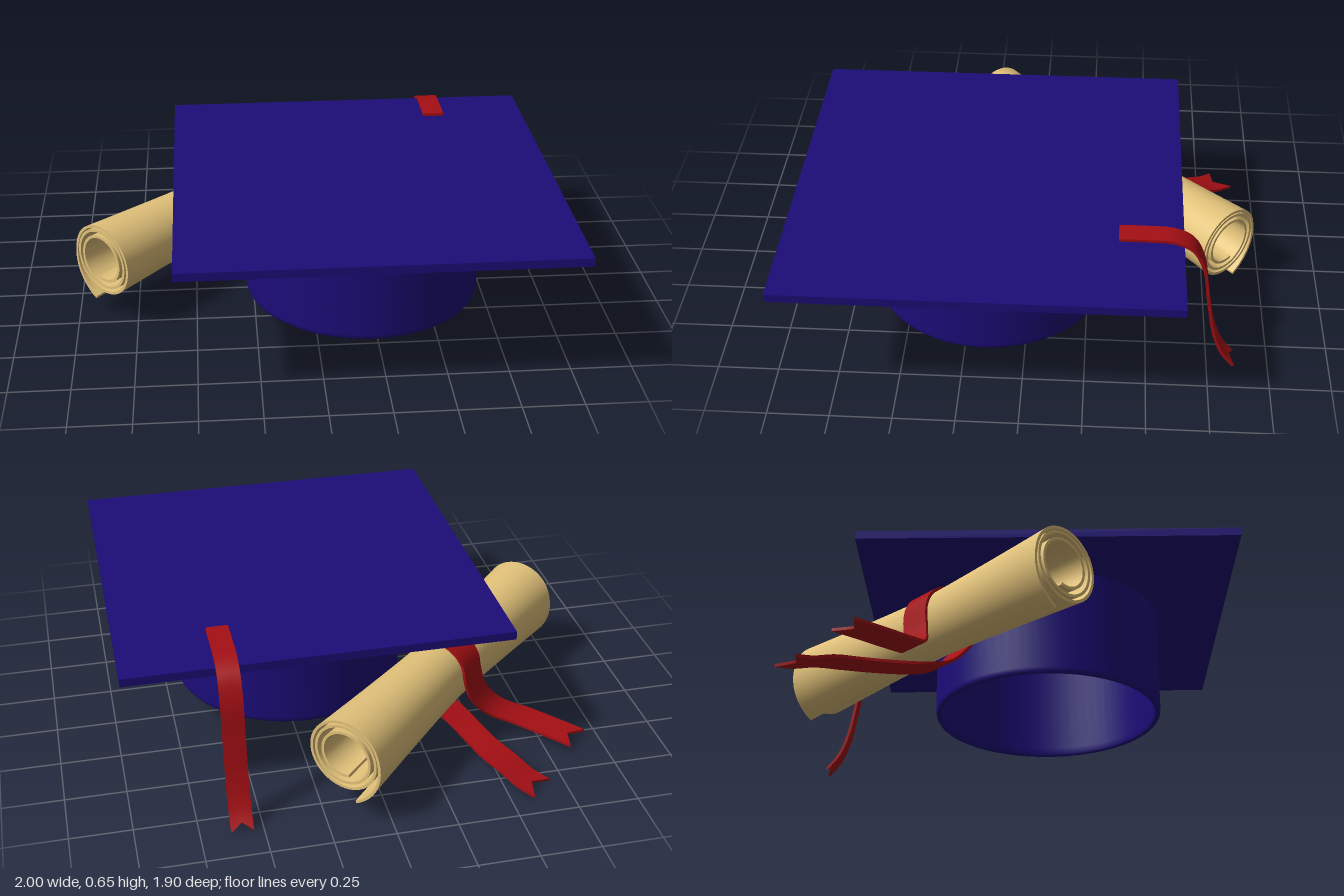
import * as THREE from 'three';
import { mergeGeometries } from 'three/addons/utils/BufferGeometryUtils.js';

const navy = new THREE.MeshStandardMaterial({ color: 0x1c0c78, side: THREE.DoubleSide });
const red = new THREE.MeshStandardMaterial({ color: 0xa50f14, side: THREE.DoubleSide });
const parchment = new THREE.MeshStandardMaterial({ color: 0xe2c27a, side: THREE.DoubleSide });

// Scroll frame: centre, axis and horizontal cross direction
const CENTRE = new THREE.Vector3(-0.357, 0.295, -0.31);
const AXIS = new THREE.Vector3(1, 0, -1).normalize();
const ACROSS = new THREE.Vector3(1, 0, 1).normalize();
const inScroll = (p, y, e) => new THREE.Vector3(0, y, 0).add(CENTRE)
  .addScaledVector(ACROSS, p).addScaledVector(AXIS, e);

// Grid surface; g(u, v) with u in 0..1 and v in -1..1
function patch(nu, nv, g) {
  const pos = [], index = [];
  for (let i = 0; i <= nu; i++) {
    for (let j = 0; j <= nv; j++) pos.push(...g(i / nu, (2 * j) / nv - 1).toArray());
  }
  for (let i = 0; i < nu; i++) {
    for (let j = 0; j < nv; j++) {
      const a = i * (nv + 1) + j, b = a + nv + 1;
      index.push(a, b, b + 1, a, b + 1, a + 1);
    }
  }
  const geo = new THREE.BufferGeometry();
  geo.setAttribute('position', new THREE.Float32BufferAttribute(pos, 3));
  geo.setIndex(index);
  geo.computeVertexNormals();
  return geo;
}

// Thin sheet with two faces and four edges; f(u, v, side)
function sheet(nu, nv, f) {
  return mergeGeometries([
    patch(nu, nv, (u, v) => f(u, v, 1)),
    patch(nu, nv, (u, v) => f(u, -v, -1)),
    patch(nu, 1, (u, w) => f(u, 1, -w)),
    patch(nu, 1, (u, w) => f(u, -1, w)),
    patch(1, nv, (u, v) => f(1, v, 2 * u - 1)),
    patch(1, nv, (u, v) => f(0, -v, 2 * u - 1)),
  ]);
}

// Ribbon along a path, with optional swallowtail notches at start and end
function ribbon(points, side, halfWidth, notchStart, notchEnd) {
  const curve = new THREE.CatmullRomCurve3(points);
  const length = curve.getLength();
  return sheet(90, 4, (u, v, s) => {
    const cut = 1 - Math.abs(v);
    const a = (notchStart * cut) / length, b = 1 - (notchEnd * cut) / length;
    const t = a + (b - a) * u;
    const normal = curve.getTangentAt(t).cross(side).normalize();
    return curve.getPointAt(t).addScaledVector(side, v * halfWidth).addScaledVector(normal, s * 0.006);
  });
}

function add(group, name, geometry, material) {
  const mesh = new THREE.Mesh(geometry, material);
  mesh.name = name;
  group.add(mesh);
  return mesh;
}

export function createModel() {
  const model = new THREE.Group();
  model.name = 'graduationCapAndScroll';

  // Cap: flat square board over an open, hollow headband
  const cap = new THREE.Group();
  cap.name = 'cap';
  cap.position.set(0.21, 0, 0.16);
  model.add(cap);
  add(cap, 'board', new THREE.BoxGeometry(1.57, 0.035, 1.57), navy).position.y = 0.6125;
  const profile = [
    [0.468, 0.6], [0.468, 0.16], [0.469, 0.135], [0.474, 0.127], [0.481, 0.125],
    [0.488, 0.127], [0.493, 0.135], [0.495, 0.15], [0.495, 0.6],
  ].map(([r, y]) => new THREE.Vector2(r, y));
  add(cap, 'headband', new THREE.LatheGeometry(profile, 72), navy);

  // Tassel ribbon: lies on the board and hangs over the back edge
  const tasselPath = [
    [0.655, -0.37], [0.655, -0.47], [0.648, -0.59], [0.612, -0.66], [0.52, -0.708],
    [0.36, -0.735], [0.18, -0.77], [0.08, -0.81], [0.015, -0.86],
  ].map(([y, z]) => new THREE.Vector3(0.585, y, z));
  add(model, 'tasselRibbon', ribbon(tasselPath, new THREE.Vector3(1, 0, 0), 0.045, 0, 0.035), red);

  // Scroll: spiral sheet, pinched at the middle, with a loose outer edge
  const turns = 3, endAngle = THREE.MathUtils.degToRad(254.5);
  const scroll = sheet(150, 20, (u, v, s) => {
    const back = turns * (1 - u);
    const flare = 0.05 * Math.max(0, 1 - back / 0.24) ** 1.5;
    const r = 0.156 - 0.014 * back * back * 0.95 * (3 / (3 + back)) * 1.12 + flare + s * 0.006;
    const angle = endAngle - back * Math.PI * 2;
    const pinch = 0.8 + 0.2 * Math.abs(v) ** 1.25;
    return inScroll(r * pinch * Math.cos(angle) + 0.003, r * pinch * Math.sin(angle), -v * 0.751);
  });
  add(model, 'scroll', scroll, parchment);

  // Scroll ribbon: one tail, around the scroll, out to the other tail
  const loop = [];
  for (let deg = 180; deg >= -45; deg -= 22.5) {
    const a = THREE.MathUtils.degToRad(deg);
    loop.push([0.136 * Math.cos(a), 0.295 + 0.136 * Math.sin(a), -0.04]);
  }
  const tiePath = [
    [-0.585, 0.056, -0.161], [-0.45, 0.056, -0.175], [-0.31, 0.06, -0.18], [-0.21, 0.1, -0.13],
    [-0.155, 0.19, -0.07],
    ...loop,
    [0.01, 0.115, -0.03], [-0.1, 0.082, 0], [-0.22, 0.075, 0.07], [-0.32, 0.075, 0.13],
    [-0.42, 0.066, 0.166], [-0.51, 0.038, 0.185], [-0.591, 0.022, 0.191],
  ].map(([p, y, e]) => inScroll(p, y - CENTRE.y, e));
  add(model, 'scrollRibbon', ribbon(tiePath, AXIS, 0.068, 0.05, 0.05), red);

  return model;
}
